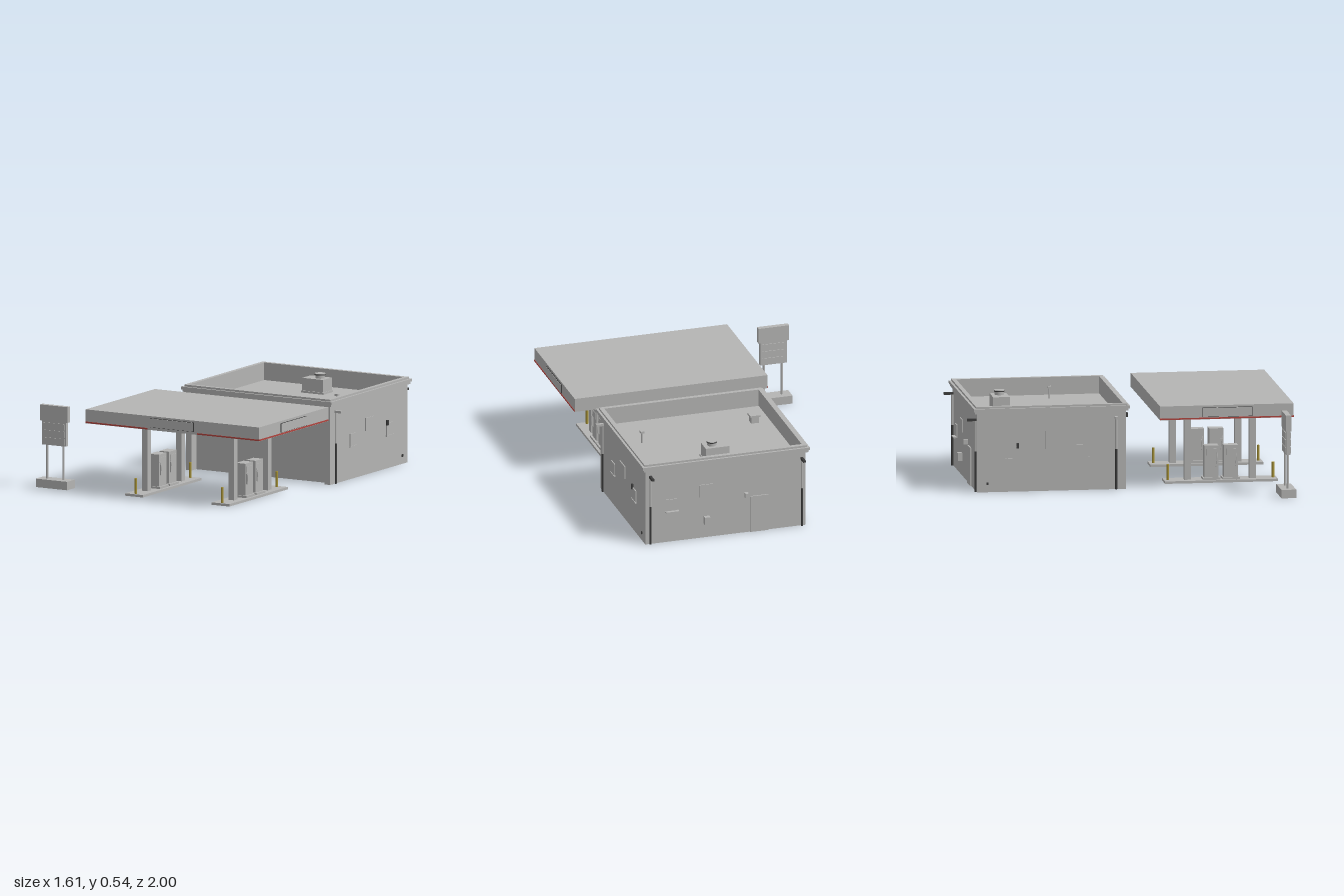
import * as THREE from 'three';

const mat = (name, color) => Object.assign(new THREE.MeshStandardMaterial({ color }), { name });

export function createModel() {
  const grey = mat('concrete grey', 0xb4b4b3);
  const dark = mat('dark metal', 0x3c3c3c);
  const yellow = mat('bollard yellow', 0xa69238);
  const red = mat('stripe red', 0xb0443e);
  const model = new THREE.Group();
  model.name = 'fuelStation';

  const section = (name) => {
    const g = new THREE.Group();
    g.name = name;
    model.add(g);
    return g;
  };
  // box given by its min and max on each axis
  const box = (parent, name, m, x0, x1, y0, y1, z0, z1) => {
    const mesh = new THREE.Mesh(new THREE.BoxGeometry(x1 - x0, y1 - y0, z1 - z0), m);
    mesh.position.set((x0 + x1) / 2, (y0 + y1) / 2, (z0 + z1) / 2);
    mesh.name = name;
    parent.add(mesh);
  };
  const post = (parent, name, m, x, z, y0, y1, r, sides = 12) => {
    const mesh = new THREE.Mesh(new THREE.CylinderGeometry(r, r, y1 - y0, sides), m);
    mesh.position.set(x, (y0 + y1) / 2, z);
    mesh.name = name;
    parent.add(mesh);
  };

  // ---- shop building, open underneath ----
  const X0 = -0.326, X1 = 0.698, Z0 = -0.942, Z1 = -0.024, T = 0.006;
  const shop = section('shop');
  // rectangular ring around the shop, from "out" outside the wall to "inn" inside it
  const ring = (name, out, inn, y0, y1) => {
    const rect = (P, o) => new P([
      [X0 - o, -Z1 - o], [X1 + o, -Z1 - o], [X1 + o, -Z0 + o], [X0 - o, -Z0 + o],
    ].map(([x, y]) => new THREE.Vector2(x, y)));
    const s = rect(THREE.Shape, out);
    s.holes.push(rect(THREE.Path, -inn));
    const g = new THREE.ExtrudeGeometry(s, { depth: y1 - y0, bevelEnabled: false });
    g.rotateX(-Math.PI / 2).translate(0, y0, 0);
    const mesh = new THREE.Mesh(g, grey);
    mesh.name = name;
    shop.add(mesh);
  };
  box(shop, 'leftWall', grey, X1 - T, X1, 0, 0.42, Z0, Z1);
  box(shop, 'rightWall', grey, X0, X0 + T, 0, 0.42, Z0, Z1);
  box(shop, 'backWall', grey, X0 + T, X1 - T, 0, 0.42, Z0, Z0 + T);
  box(shop, 'frontHeader', grey, X0 + T, X1 - T, 0.38, 0.42, Z1 - T, Z1);
  box(shop, 'roof', grey, X0 + T, X1 - T, 0.41, 0.42, Z0 + T, Z1 - T);
  ring('parapet', 0, 0.018, 0.42, 0.52);
  ring('lowerCornice', 0.014, 0, 0.485, 0.5);
  ring('upperCornice', 0.021, 0, 0.5, 0.517);
  ring('parapetCap', 0.007, 0.02, 0.517, 0.529);

  // recessed shop front between corner pilasters
  const ZR = Z1 - 0.055, PX0 = -0.285, PX1 = 0.657;
  box(shop, 'shopFront', grey, PX0, PX1, 0, 0.32, ZR - T, ZR);
  box(shop, 'signBand', grey, PX0, PX1, 0.318, 0.38, ZR - T, Z1 - 0.015);
  for (const [a, b] of [[X0 + T, PX0], [PX1, X1 - T]]) box(shop, 'pilaster', grey, a, b, 0, 0.38, ZR - T, Z1);
  for (const x of [-0.072, 0.44]) {
    box(shop, 'frontLampArm', dark, x - 0.005, x + 0.005, 0.41, 0.42, Z1, 0.01);
    box(shop, 'frontLamp', dark, x - 0.015, x + 0.015, 0.403, 0.427, -0.002, 0.024);
  }

  // side windows, lamps and downpipes
  for (const [wx, s] of [[X1, 1], [X0, -1]]) {
    const onSide = (name, m, out, y0, y1, z0, z1) =>
      box(shop, name, m, Math.min(wx, wx + s * out), Math.max(wx, wx + s * out), y0, y1, z0, z1);
    for (const z of [-0.292, -0.725]) {
      onSide('sideWindow', grey, 0.006, 0.205, 0.28, z - 0.037, z + 0.037);
      onSide('sideSill', grey, 0.01, 0.198, 0.205, z - 0.042, z + 0.042);
    }
    if (s > 0) onSide('sidePanel', grey, 0.006, 0.27, 0.35, -0.54, -0.44);
    else onSide('sideNarrowPanel', grey, 0.008, 0.26, 0.37, -0.52, -0.48);
    onSide('sideLamp', dark, 0.012, 0.268, 0.3, -0.7, -0.686);
    onSide('sideVent', dark, 0.006, 0.045, 0.06, -0.885, -0.872);
    onSide('sideSpout', grey, 0.046, 0.438, 0.452, -0.096, -0.078);
    post(shop, 'sidePipeTop', grey, wx + s * 0.003, -0.085, 0.25, 0.445, 0.007);
    post(shop, 'sidePipe', dark, wx + s * 0.003, -0.085, 0, 0.25, 0.007);
  }

  // back wall fittings
  const onBack = (name, m, out, x0, x1, y0, y1) => box(shop, name, m, x0, x1, y0, y1, Z0 - out, Z0);
  for (const x of [-0.3, 0.667]) {
    onBack('backSpout', dark, -1 - Z0 > 0 ? 0 : Z0 + 1, x - 0.008, x + 0.008, 0.438, 0.452);
    post(shop, 'backPipeTop', grey, x, Z0 - 0.006, 0.25, 0.445, 0.007);
    post(shop, 'backPipe', dark, x, Z0 - 0.006, 0, 0.25, 0.007);
  }
  onBack('backWindow', grey, 0.006, 0.493, 0.567, 0.205, 0.28);
  onBack('backSill', grey, 0.026, 0.488, 0.572, 0.198, 0.205);
  onBack('backPanel', grey, 0.006, 0.265, 0.355, 0.27, 0.35);
  onBack('meterBox', grey, 0.028, 0.29, 0.325, 0.09, 0.14);
  onBack('backDoor', grey, 0.008, -0.085, 0.03, 0, 0.235);
  onBack('doorLamp', grey, 0.028, 0.045, 0.066, 0.235, 0.265);

  // rooftop equipment
  const roof = section('roofEquipment');
  box(roof, 'coolingUnit', grey, 0.11, 0.26, 0.432, 0.51, -0.778, -0.675);
  box(roof, 'coolingUnitBase', grey, 0.105, 0.265, 0.42, 0.432, -0.782, -0.668);
  post(roof, 'fanCollar', grey, 0.207, -0.727, 0.51, 0.53, 0.028, 20);
  post(roof, 'fanCap', dark, 0.207, -0.727, 0.53, 0.536, 0.033, 20);
  post(roof, 'fanLid', grey, 0.207, -0.727, 0.536, 0.54, 0.033, 20);
  box(roof, 'ventBox', grey, -0.232, -0.183, 0.42, 0.46, -0.29, -0.244);
  box(roof, 'ventBoxCap', grey, -0.24, -0.175, 0.46, 0.472, -0.297, -0.237);
  post(roof, 'ventPipe', grey, 0.54, -0.37, 0.42, 0.485, 0.006);
  box(roof, 'ventPipeCap', grey, 0.529, 0.551, 0.485, 0.497, -0.381, -0.359);

  // ---- canopy ----
  const canopy = section('canopy');
  const CX0 = -0.43, CX1 = 0.8, CZ0 = 0.17, CZ1 = 0.992;
  box(canopy, 'canopySlab', grey, CX0, CX1, 0.435, 0.521, CZ0, CZ1);
  box(canopy, 'frontStripe', red, CX0, 0.01, 0.437, 0.446, CZ1, CZ1 + 0.003);
  box(canopy, 'frontStripe', red, 0.36, CX1, 0.437, 0.446, CZ1, CZ1 + 0.003);
  box(canopy, 'leftStripe', red, CX1, CX1 + 0.003, 0.437, 0.446, CZ0, CZ1);
  box(canopy, 'rightStripe', red, CX0 - 0.003, CX0, 0.437, 0.446, CZ0, CZ1);
  box(canopy, 'frontSignFrame', dark, 0.03, 0.337, 0.452, 0.51, CZ1, 0.997);
  box(canopy, 'frontSign', grey, 0.032, 0.335, 0.454, 0.508, 0.997, 1);
  for (const [x, s] of [[CX1, 1], [CX0, -1]]) {
    const span = (a, b) => [Math.min(x + s * a, x + s * b), Math.max(x + s * a, x + s * b)];
    box(canopy, 'sideSignFrame', dark, ...span(0, 0.005), 0.45, 0.508, 0.43, 0.738);
    box(canopy, 'sideSign', grey, ...span(0.005, 0.007), 0.452, 0.506, 0.432, 0.736);
  }
  for (const x of [-0.272, 0.64]) for (const z of [0.46, 0.79])
    box(canopy, 'ceilingLight', grey, x - 0.033, x + 0.033, 0.431, 0.435, z - 0.033, z + 0.033);

  // ---- pump islands ----
  for (const cx of [-0.123, 0.49]) {
    const island = section('pumpIsland');
    island.position.x = cx;
    box(island, 'kerb', grey, -0.063, 0.063, 0, 0.015, 0.237, 0.932);
    for (const z of [0.381, 0.783]) box(island, 'canopyColumn', grey, -0.02, 0.02, 0.015, 0.435, z - 0.02, z + 0.02);
    for (const z of [0.263, 0.91]) post(island, 'bollard', yellow, 0, z, 0.015, 0.11, 0.008, 16);
    for (const z of [0.527, 0.647]) {
      box(island, 'pumpBase', grey, -0.046, 0.046, 0.015, 0.028, z - 0.054, z + 0.054);
      box(island, 'pumpBody', grey, -0.034, 0.034, 0.028, 0.225, z - 0.044, z + 0.044);
      for (const s of [-1, 1]) {
        const plate = (name, a, b, y0, y1, z0, z1) =>
          box(island, name, grey, Math.min(s * a, s * b), Math.max(s * a, s * b), y0, y1, z + z0, z + z1);
        plate('pumpScreen', 0.034, 0.037, 0.165, 0.205, -0.03, 0.03);
        plate('nozzleHolder', 0.034, 0.042, 0.1, 0.16, 0.024, 0.036);
        const hose = new THREE.CatmullRomCurve3([
          [0.034, 0.18], [0.04, 0.16], [0.041, 0.13], [0.038, 0.105], [0.033, 0.095],
        ].map(([x, y], i) => new THREE.Vector3(s * x, y, z + 0.034 - i * 0.002)));
        const tube = new THREE.Mesh(new THREE.TubeGeometry(hose, 12, 0.003, 6), grey);
        tube.name = 'hose';
        island.add(tube);
      }
    }
  }

  // ---- roadside price sign on a hollow base ----
  const sign = section('priceSign');
  box(sign, 'signBaseTop', grey, -0.807, -0.585, 0.048, 0.052, 0.862, 0.953);
  for (const z of [0.862, 0.95]) box(sign, 'signBaseLongSide', grey, -0.807, -0.585, 0, 0.048, z, z + 0.003);
  for (const x of [-0.807, -0.588]) box(sign, 'signBaseEnd', grey, x, x + 0.003, 0, 0.048, 0.865, 0.95);
  for (const x of [-0.752, -0.638]) post(sign, 'signPole', grey, x, 0.908, 0.052, 0.27, 0.007);
  box(sign, 'signPanel', grey, -0.782, -0.612, 0.262, 0.41, 0.895, 0.921);
  box(sign, 'signHead', grey, -0.795, -0.6, 0.41, 0.508, 0.892, 0.924);
  for (let i = 0; i < 3; i++) {
    const y = 0.27 + i * 0.046;
    box(sign, 'pricePlate', grey, -0.77, -0.624, y, y + 0.038, 0.891, 0.925);
  }
  return model;
}
